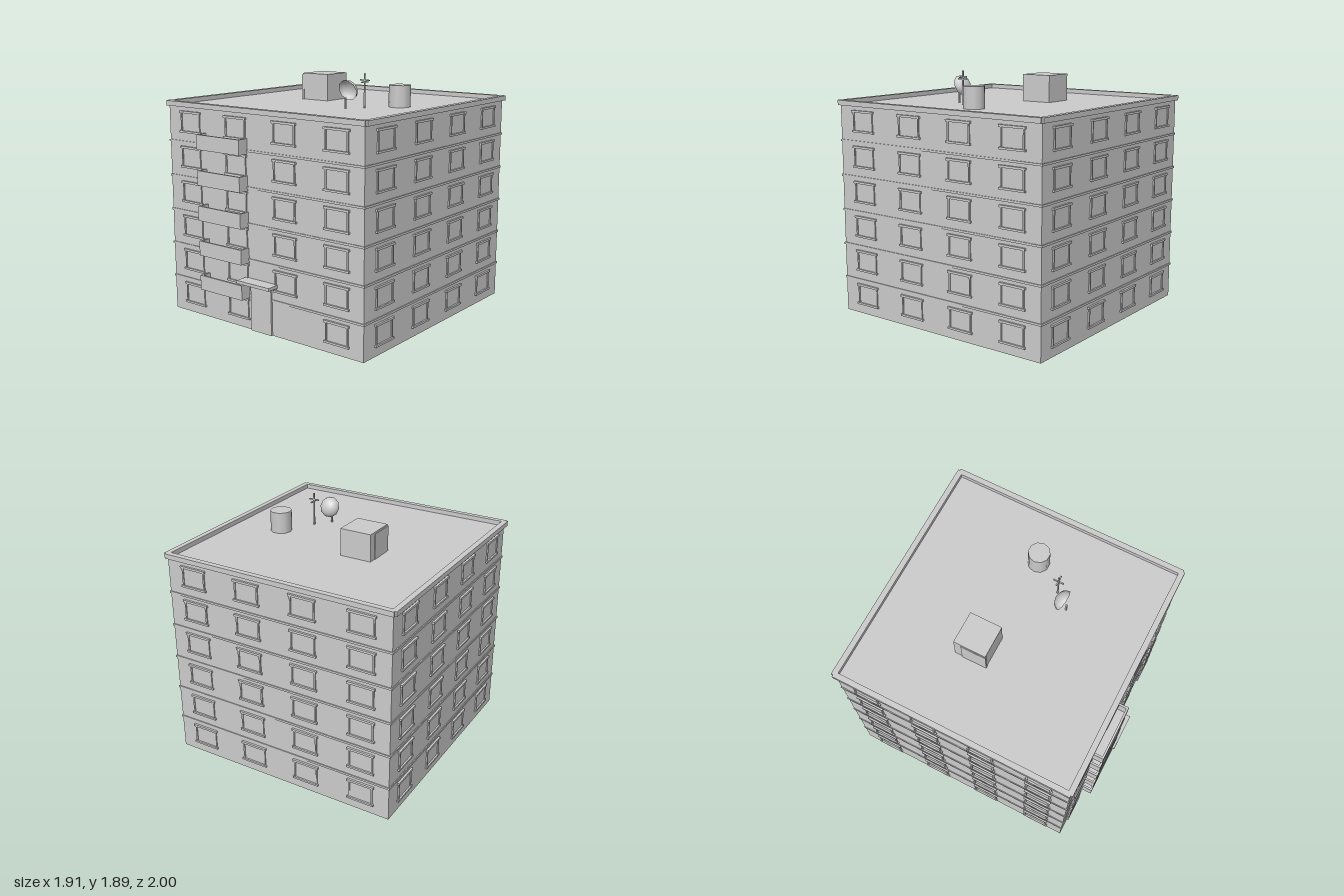
import * as THREE from 'three';

const material = new THREE.MeshStandardMaterial({ color: 0xcccccc });
const thinMaterial = new THREE.MeshStandardMaterial({ color: 0xcccccc, side: THREE.DoubleSide });

const HALF = 0.93;      // half width of the square block
const CZ = -0.04;       // block centre in z
const ROOF = 1.635;
const STOREY = 0.2722;
const FRONT = CZ + HALF + 0.007;

// Box given by its limits on each axis
function box(parent, name, [x0, x1], [y0, y1], [z0, z1]) {
  const mesh = new THREE.Mesh(new THREE.BoxGeometry(x1 - x0, y1 - y0, z1 - z0), material);
  mesh.position.set((x0 + x1) / 2, (y0 + y1) / 2, (z0 + z1) / 2);
  mesh.name = name;
  parent.add(mesh);
  return mesh;
}

function group(parent, name) {
  const g = new THREE.Group();
  g.name = name;
  parent.add(g);
  return g;
}

// Window with its back on z = 0 and its lower edge on y = 0
function addWindow(parent, x, y, z) {
  const w = group(parent, 'window');
  w.position.set(x, y, z);
  box(w, 'pane', [-0.1, 0.1], [0.01, 0.16], [-0.01, 0.003]);
  for (const s of [-1, 1]) {
    box(w, 'jamb', [s * 0.094 - 0.006, s * 0.094 + 0.006], [0.01, 0.16], [-0.01, 0.01]);
  }
  box(w, 'sill', [-0.11, 0.11], [0, 0.015], [-0.01, 0.016]);
  box(w, 'lintel', [-0.11, 0.11], [0.15, 0.167], [-0.01, 0.016]);
}

// Open-topped balcony made of a slab and three parapet panels
function addBalcony(parent, y) {
  const b = group(parent, 'balcony');
  const [x0, x1, z1, t, top] = [-0.555, -0.122, 0.985, 0.016, y + 0.114];
  box(b, 'balconySlab', [x0, x1], [y, y + 0.015], [FRONT - 0.01, z1]);
  box(b, 'balconyFront', [x0, x1], [y + 0.015, top], [z1 - t, z1]);
  box(b, 'balconySide', [x0, x0 + t], [y + 0.015, top], [FRONT - 0.01, z1 - t]);
  box(b, 'balconySide', [x1 - t, x1], [y + 0.015, top], [FRONT - 0.01, z1 - t]);
}

export function createModel() {
  const model = new THREE.Group();
  model.name = 'apartmentBlock';

  // Main block, slightly deeper than wide
  const depth = HALF + 0.007;
  box(model, 'walls', [-HALF, HALF], [0, ROOF], [CZ - depth, CZ + depth]);

  // Storey bands
  for (let i = 1; i < 6; i++) {
    const y = i * STOREY, o = 0.007;
    box(model, 'storeyBand', [-HALF - o, HALF + o], [y - 0.008, y + 0.008],
      [CZ - depth - o, CZ + depth + o]);
  }

  // Roof parapet with small notches at the corners
  const [inner, outer, end] = [0.914, 0.957, 0.942];
  for (const s of [-1, 1]) {
    const span = [s * inner, s * outer].sort((a, b) => a - b);
    box(model, 'parapet', [-end, end], [1.632, 1.67], span.map(v => v + CZ));
    box(model, 'parapet', span, [1.632, 1.67], [CZ - end, CZ + end]);
  }

  // Windows on all four faces; the entrance replaces one at the front
  for (let side = 0; side < 4; side++) {
    const face = group(model, ['frontWindows', 'leftWindows', 'backWindows', 'rightWindows'][side]);
    face.position.z = CZ;
    face.rotation.y = side * Math.PI / 2;
    for (let floor = 0; floor < 6; floor++) {
      for (let col = 0; col < 4; col++) {
        if (side === 0 && floor === 0 && col === 2) continue;
        addWindow(face, (col - 1.5) * 0.4667, 0.073 + floor * STOREY, side % 2 ? HALF : depth);
      }
    }
  }

  // Balconies
  for (let i = 0; i < 5; i++) addBalcony(model, 0.247 + i * STOREY);

  // Entrance
  box(model, 'entranceDoor', [-0.1, 0.1], [0, 0.378], [FRONT - 0.02, FRONT + 0.015]);
  box(model, 'entranceCanopy', [-0.157, 0.157], [0.378, 0.402], [FRONT - 0.02, 1]);

  // Stair housing on the roof, with its door
  box(model, 'stairHousing', [-0.382, -0.13], [ROOF, 1.845], [-0.3, -0.048]);
  box(model, 'stairHousingDoor', [-0.388, -0.37], [ROOF, 1.832], [-0.24, -0.044]);

  // Water tank
  const tank = new THREE.Mesh(
    new THREE.CylinderGeometry(0.083, 0.083, 1.8 - ROOF, 10, 1, false, Math.PI / 2), material);
  tank.position.set(0.533, (1.8 + ROOF) / 2, -0.09);
  tank.name = 'waterTank';
  model.add(tank);

  // Satellite dish: a hollow flattened half sphere, open towards the front
  const dishGroup = group(model, 'satelliteDish');
  const bowl = new THREE.SphereGeometry(0.082, 10, 6, 0, Math.PI * 2, 0, Math.PI / 2);
  bowl.scale(1, 0.76, 1);
  bowl.rotateX(-Math.PI / 2 + 0.38);
  const dish = new THREE.Mesh(bowl, thinMaterial);
  dish.position.set(0.285, 1.768, 0.235);
  dish.name = 'dishBowl';
  dishGroup.add(dish);
  box(dishGroup, 'dishPost', [0.279, 0.291], [ROOF, 1.718], [0.254, 0.266]);

  // Aerial with two crossed bars
  const aerial = group(model, 'aerial');
  box(aerial, 'mast', [0.372, 0.382], [ROOF, 1.893], [0.14, 0.15]);
  box(aerial, 'crossbar', [0.335, 0.419], [1.837, 1.847], [0.14, 0.15]);
  box(aerial, 'crossbar', [0.372, 0.382], [1.823, 1.833], [0.103, 0.187]);

  return model;
}
